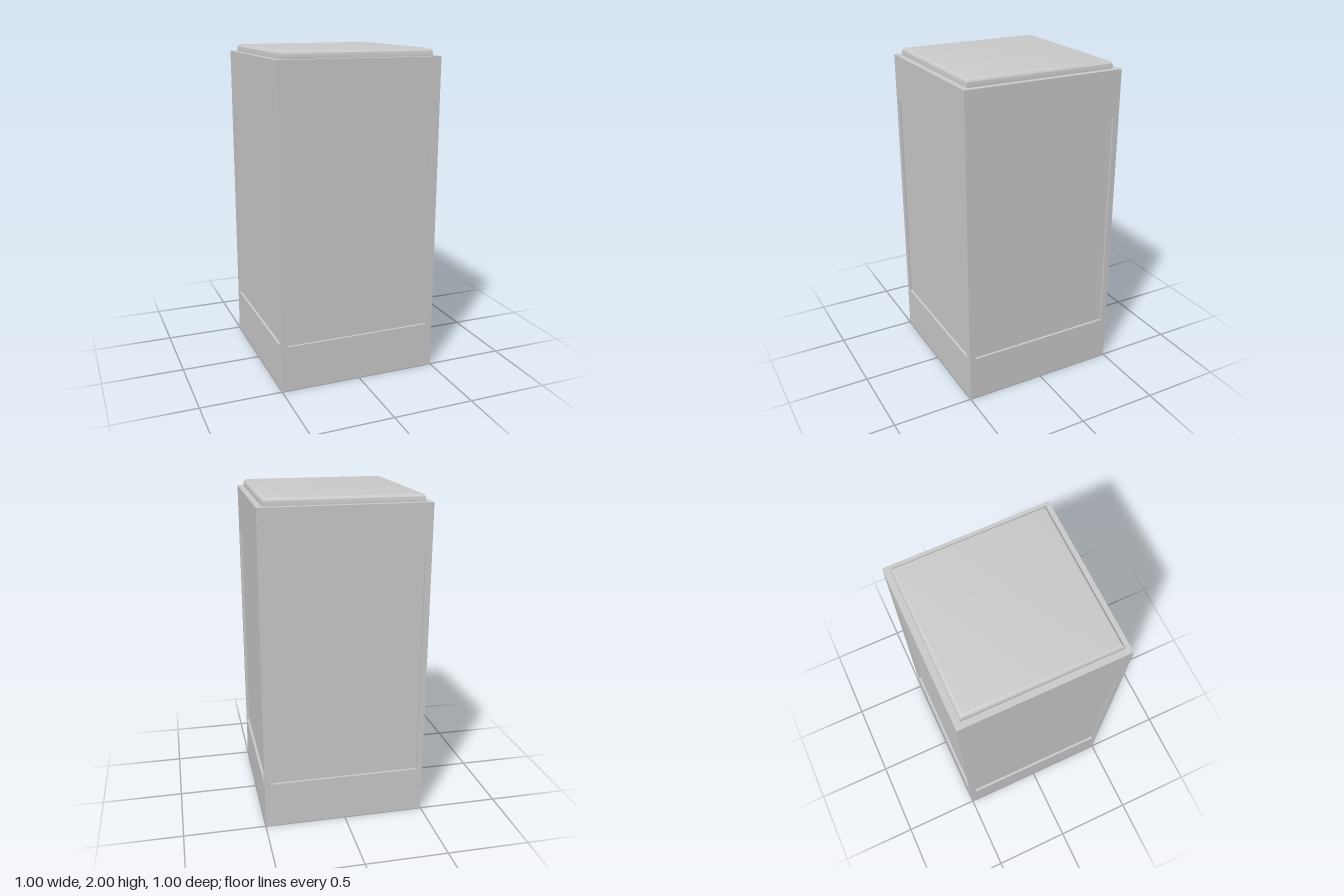
import * as THREE from 'three';
import { toCreasedNormals } from 'three/addons/utils/BufferGeometryUtils.js';

const HEIGHT = 1.955, PANEL_BOTTOM = 0.285, PANEL_TOP = 1.672;
const HALF_PANEL = 0.463, RECESS = 0.015;

export function createModel() {
  const model = new THREE.Group();
  const grey = new THREE.MeshStandardMaterial({ color: 0xcccccc });
  const pale = new THREE.MeshStandardMaterial({ color: 0xefefef });

  const add = (name, geometry, material, x = 0, y = 0, z = 0) => {
    const mesh = new THREE.Mesh(geometry, material);
    mesh.name = name;
    mesh.position.set(x, y, z);
    model.add(mesh);
    return mesh;
  };

  // Solid bands at the foot and head of the pillar
  add('baseBand', new THREE.BoxGeometry(1, PANEL_BOTTOM, 1), grey, 0, PANEL_BOTTOM / 2);
  const headHeight = HEIGHT - PANEL_TOP;
  add('topBand', new THREE.BoxGeometry(1, headHeight, 1), grey, 0, PANEL_TOP + headHeight / 2);

  // Slim corner posts framing the panels
  const panelHeight = PANEL_TOP - PANEL_BOTTOM;
  const midY = (PANEL_TOP + PANEL_BOTTOM) / 2;
  const post = 0.5 - HALF_PANEL;
  const postGeometry = new THREE.BoxGeometry(post, panelHeight, post);
  for (const x of [-1, 1]) {
    for (const z of [-1, 1]) {
      add('cornerPost', postGeometry, grey, x * (0.5 - post / 2), midY, z * (0.5 - post / 2));
    }
  }

  // Recessed panel on each of the four sides
  const panelGeometry = new THREE.PlaneGeometry(2 * HALF_PANEL, panelHeight);
  for (let i = 0; i < 4; i++) {
    const a = i * Math.PI / 2, d = 0.5 - RECESS;
    add('sidePanel', panelGeometry, pale, Math.sin(a) * d, midY, Math.cos(a) * d).rotation.y = a;
  }

  // Square lid with a rounded upper edge; its lower edge is sunk into the body
  const r = 0.025, h = 0.463 - r;
  const square = new THREE.Shape([
    new THREE.Vector2(-h, -h), new THREE.Vector2(h, -h),
    new THREE.Vector2(h, h), new THREE.Vector2(-h, h),
  ]);
  const lid = new THREE.ExtrudeGeometry(square, {
    depth: 0.05, bevelEnabled: true, bevelSize: r, bevelThickness: r, bevelSegments: 6,
  });
  lid.rotateX(-Math.PI / 2);
  add('lid', toCreasedNormals(lid, 0.6), grey, 0, 2 - r - 0.05);

  return model;
}
